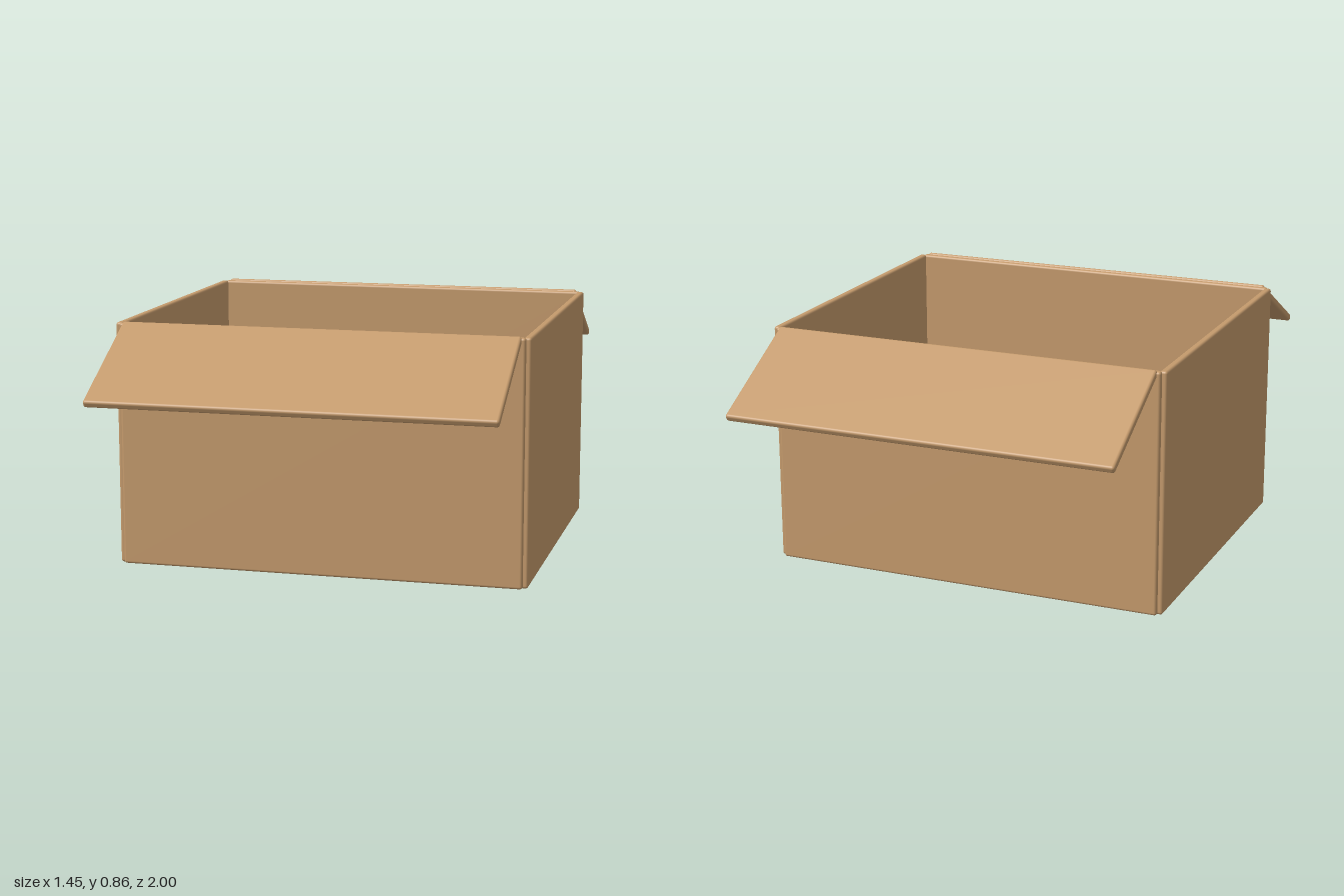
import * as THREE from 'three';
import { RoundedBoxGeometry } from 'three/addons/geometries/RoundedBoxGeometry.js';

export function createModel() {
  const model = new THREE.Group();
  model.name = 'openCardboardBox';

  const cardboard = new THREE.MeshStandardMaterial({ color: 0xc49a6c });
  cardboard.name = 'cardboard';

  const T = 0.027; // board thickness
  const H = 0.855; // wall height

  // One softly rounded board
  function board(name, w, h, d, x, y, z) {
    const mesh = new THREE.Mesh(new RoundedBoxGeometry(w, h, d, 3, 0.009), cardboard);
    mesh.name = name;
    mesh.position.set(x, y, z);
    model.add(mesh);
    return mesh;
  }

  board('floor', 1.424, T, 1.2, 0, T / 2, 0);

  // Side walls
  for (const [name, s] of [['left', 1], ['right', -1]]) {
    board(name + 'Wall', T, H, 1.192, s * (0.727 - T / 2), H / 2, 0);
  }

  // Front and back walls, each with a flap folded outward and down
  for (const [name, s] of [['front', 1], ['back', -1]]) {
    board(name + 'Wall', 1.42, H, T, 0, H / 2, s * (0.612 - T / 2));
    const flap = board(name + 'Flap', 1.392, T, 0.45, 0, 0.745, s * 0.797);
    flap.rotation.x = s * THREE.MathUtils.degToRad(28.3);
  }

  return model;
}
